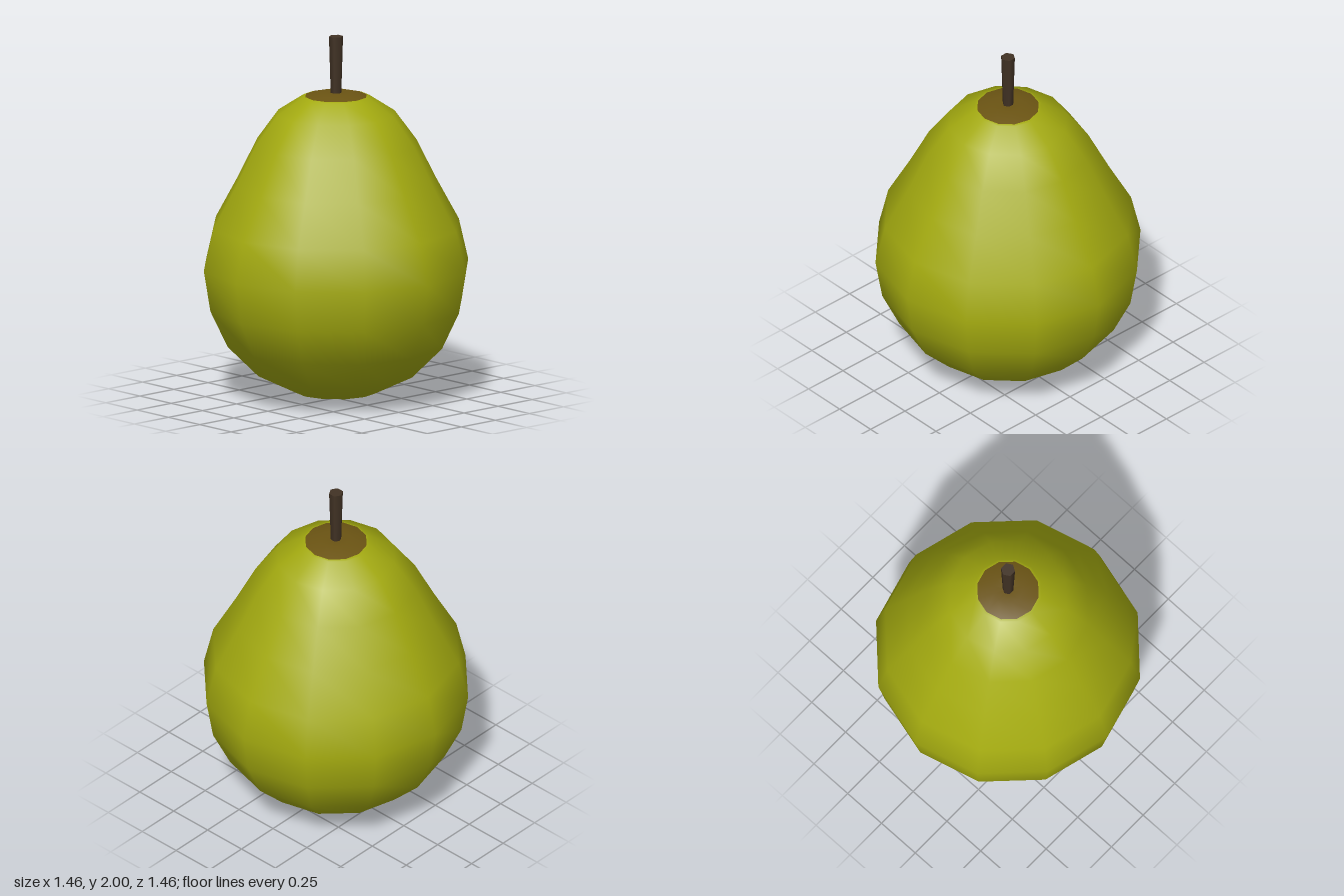
import * as THREE from 'three';

const mat = (name, color) => {
  const m = new THREE.MeshStandardMaterial({ color });
  m.name = name;
  return m;
};

// Twelve-sided turned shape from [radius, height] pairs, bottom to top
const turned = (name, profile, material) => {
  const points = profile.map(([r, y]) => new THREE.Vector2(r, y));
  const mesh = new THREE.Mesh(new THREE.LatheGeometry(points, 12), material);
  mesh.name = name;
  return mesh;
};

export function createModel() {
  const group = new THREE.Group();
  group.name = 'pear';
  const skin = mat('pearGreen', 0xa4ab10);
  const russet = mat('russetBrown', 0x6b5413);
  const bark = mat('stemBrown', 0x413224);

  // Fruit body: round base narrowing to a shoulder
  group.add(turned('body', [
    [0, 0], [0.225, 0.04], [0.43, 0.14], [0.6, 0.31], [0.695, 0.51], [0.732, 0.735],
    [0.68, 0.96], [0.555, 1.19], [0.445, 1.41], [0.325, 1.575], [0.185, 1.667], [0.17, 1.671],
  ], skin));

  // Russet patch around the stem
  group.add(turned('crownPatch', [[0.17, 1.671], [0.08, 1.694], [0, 1.685]], russet));

  // Six-sided stem, wider at the tip
  const stem = new THREE.Mesh(new THREE.CylinderGeometry(0.039, 0.029, 0.33, 6), bark);
  stem.name = 'stem';
  stem.position.y = 1.835;
  stem.rotation.y = Math.PI / 6;
  group.add(stem);

  return group;
}
